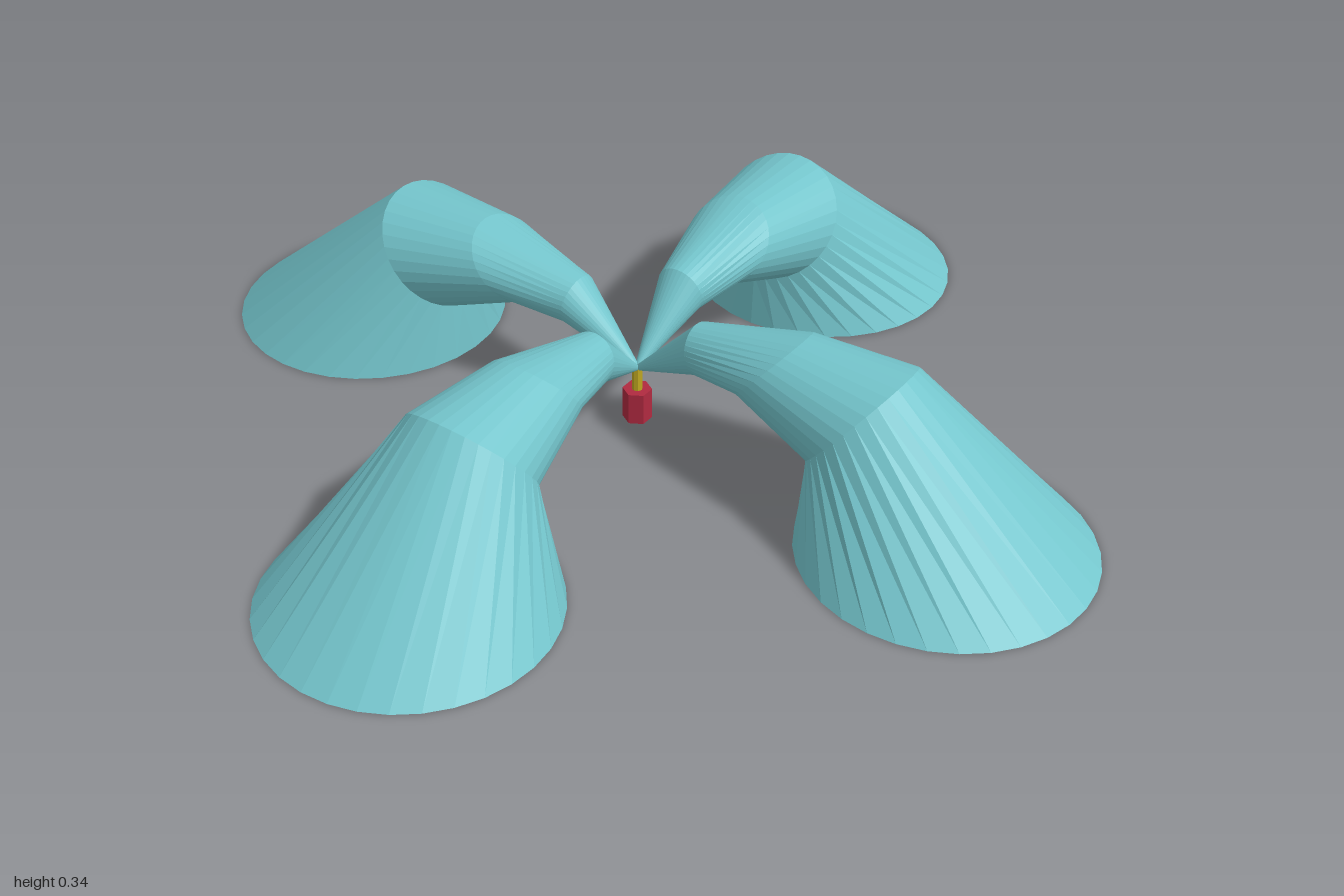
import * as THREE from 'three';

const SIDES = 32;

// Cross-sections of one horn arm along +x, as [topX, topY, bottomX, bottomY]
const SECTIONS = [
  [-0.004, 0.124, 0.004, 0.116],
  [0.14, 0.28, 0.16, 0.176],
  [0.38, 0.335, 0.26, 0.19],
  [0.6, 0.335, 0.43, 0.12],
  [1.0, 0, 0.425, 0],
];

// Lofts circular rings between the given sections; the last ring can be capped
function loft(sections, capped) {
  const points = [];
  const index = [];
  for (const [tx, ty, bx, by] of sections) {
    const ux = (tx - bx) / 2, uy = (ty - by) / 2;
    const r = Math.hypot(ux, uy);
    for (let j = 0; j < SIDES; j++) {
      const a = (j / SIDES) * Math.PI * 2;
      points.push((tx + bx) / 2 + ux * Math.cos(a), (ty + by) / 2 + uy * Math.cos(a), r * Math.sin(a));
    }
  }
  for (let i = 0; i < sections.length - 1; i++) {
    for (let j = 0; j < SIDES; j++) {
      const k = (j + 1) % SIDES;
      const a = i * SIDES + j, b = i * SIDES + k;
      index.push(a, b, a + SIDES, b, b + SIDES, a + SIDES);
    }
  }
  if (capped) {
    const start = (sections.length - 1) * SIDES;
    for (let j = 1; j < SIDES - 1; j++) index.push(start, start + j, start + j + 1);
  }
  const geometry = new THREE.BufferGeometry();
  geometry.setAttribute('position', new THREE.Float32BufferAttribute(points, 3));
  geometry.setIndex(index);
  geometry.computeVertexNormals();
  return geometry;
}

export function createModel() {
  const model = new THREE.Group();
  const teal = new THREE.MeshStandardMaterial({ color: 0x74c5cc, flatShading: true });
  const yellow = new THREE.MeshStandardMaterial({ color: 0xc0a820, flatShading: true });
  const red = new THREE.MeshStandardMaterial({ color: 0xb02a40, flatShading: true });

  const add = (parent, name, geometry, material) => {
    const mesh = new THREE.Mesh(geometry, material);
    mesh.name = name;
    parent.add(mesh);
    return mesh;
  };

  // Four arms, each a curved neck ending in a flared, closed horn
  const neck = loft(SECTIONS.slice(0, 4), false);
  const horn = loft(SECTIONS.slice(3), true);
  ['leftArm', 'backArm', 'rightArm', 'frontArm'].forEach((name, i) => {
    const arm = new THREE.Group();
    arm.name = name;
    add(arm, 'neck', neck, teal);
    add(arm, 'horn', horn, teal);
    arm.rotation.y = (i * Math.PI) / 2;
    if (i % 2) arm.scale.x = 0.988;
    model.add(arm);
  });

  // Small hub hanging below the point where the necks meet
  add(model, 'hubStem', new THREE.CylinderGeometry(0.011, 0.011, 0.055, 8), yellow).position.y = 0.0955;
  add(model, 'hubWeight', new THREE.CylinderGeometry(0.03, 0.03, 0.07, 6), red).position.y = 0.035;

  return model;
}
